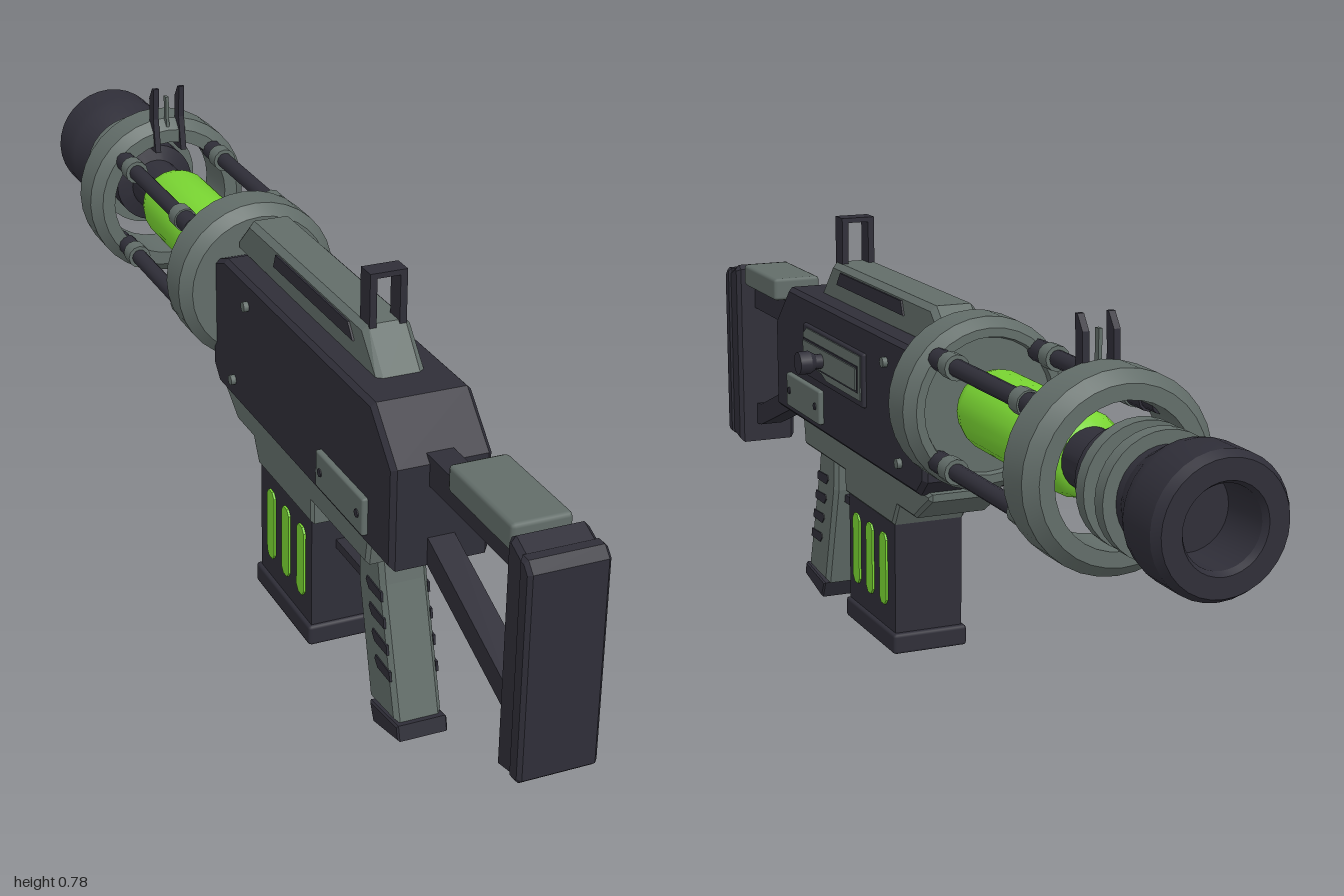
import * as THREE from 'three';
import { toCreasedNormals } from 'three/addons/utils/BufferGeometryUtils.js';
import { RoundedBoxGeometry } from 'three/addons/geometries/RoundedBoxGeometry.js';

const AXIS_Y = 0.545; // height of the barrel axis

export function createModel() {
  const model = new THREE.Group();
  model.name = 'energyRifle';
  const material = (name, color) => {
    const m = new THREE.MeshStandardMaterial({ color });
    m.name = name;
    return m;
  };
  const dark = material('dark gunmetal', 0x2f2e38);
  const grey = material('grey green metal', 0x626d69);
  const green = material('glowing green', 0x7bd833);

  function add(name, geometry, mat, x = 0, y = 0, z = 0) {
    const mesh = new THREE.Mesh(geometry, mat);
    mesh.name = name;
    mesh.position.set(x, y, z);
    model.add(mesh);
    return mesh;
  }
  const box = (name, mat, w, h, d, x, y, z) => add(name, new THREE.BoxGeometry(w, h, d), mat, x, y, z);

  // Side profile of [z, y] points, extruded across x to the given full width
  function side(name, mat, points, width, bevel = 0, x = 0) {
    const shape = new THREE.Shape(points.map(([z, y]) => new THREE.Vector2(z, y)));
    const geo = new THREE.ExtrudeGeometry(shape, {
      depth: width - 2 * bevel, bevelEnabled: bevel > 0, bevelSize: bevel,
      bevelThickness: bevel, bevelOffset: -bevel, bevelSegments: 1,
    });
    geo.translate(0, 0, bevel - width / 2);
    geo.rotateY(-Math.PI / 2);
    return add(name, geo, mat, x);
  }

  // Turned part around the barrel axis: [radius, distance forward] points
  function turned(name, mat, points, crease = 0.5, segments = 32) {
    const geo = new THREE.LatheGeometry(points.map(([r, f]) => new THREE.Vector2(r, f)), segments);
    geo.rotateX(-Math.PI / 2);
    return add(name, toCreasedNormals(geo, crease), mat, 0, AXIS_Y, 0);
  }

  // Cylinder lying along z
  function rodZ(name, mat, r, z0, z1, x, y) {
    const geo = new THREE.CylinderGeometry(r, r, Math.abs(z1 - z0), 12).rotateX(Math.PI / 2);
    return add(name, geo, mat, x, y, (z0 + z1) / 2);
  }

  // Cylinder lying along x
  function rodX(name, mat, r0, r1, x0, x1, y, z) {
    const geo = new THREE.CylinderGeometry(r1, r0, x1 - x0, 14).rotateZ(-Math.PI / 2);
    return add(name, geo, mat, (x0 + x1) / 2, y, z);
  }

  // Receiver
  side('receiver', dark, [[0.61, 0.37], [0.61, 0.545], [0.53, 0.623], [-0.09, 0.623],
    [-0.15, 0.6], [-0.15, 0.4], [-0.12, 0.37]], 0.17, 0.008);
  side('lowerReceiver', grey, [[0.49, 0.315], [0.61, 0.375], [-0.14, 0.375], [-0.14, 0.362], [-0.07, 0.315]].map(
    ([z, y]) => [Math.min(z, 0.5), y]), 0.14, 0.006);
  side('magazineWell', grey, [[0.27, 0.275], [0.27, 0.33], [0.0, 0.33], [0.03, 0.275]], 0.14, 0.005);
  side('topRail', grey, [[0.465, 0.615], [0.4, 0.69], [-0.08, 0.69], [-0.135, 0.64], [-0.135, 0.615]], 0.083, 0.01);

  // Details repeated on both sides
  for (const s of [-1, 1]) {
    side('railSlot', dark, [[0.37, 0.652], [0.35, 0.677], [0.05, 0.677], [0.04, 0.652]], 0.006, 0, s * 0.042);
    add('sidePlate', new RoundedBoxGeometry(0.02, 0.066, 0.185, 1, 0.004), grey, s * 0.085, 0.423, 0.432);
    for (const z of [0.36, 0.505]) rodX('plateScrew', dark, 0.007, 0.007, s * 0.095 - 0.002, s * 0.095 + 0.002, 0.423, z);
    for (const [y, z] of [[0.577, 0.02], [0.41, -0.045]]) {
      rodX('receiverScrew', grey, 0.009, 0.009, s * 0.087 - 0.007, s * 0.087 + 0.007, y, z);
    }
  }

  // Bolt port and charging handle on the model's left
  add('portFrame', new RoundedBoxGeometry(0.012, 0.1, 0.315, 1, 0.004), dark, 0.086, 0.522, 0.273);
  side('portCover', grey, [[0.425, 0.5], [0.425, 0.553], [0.405, 0.566], [0.125, 0.566], [0.125, 0.484],
    [0.3, 0.484], [0.325, 0.493]], 0.006, 0, 0.091);
  side('boltRecess', dark, [[0.42, 0.497], [0.42, 0.546], [0.135, 0.546], [0.135, 0.497]], 0.004, 0, 0.0935);
  side('boltCarrier', grey, [[0.415, 0.501], [0.415, 0.542], [0.14, 0.542], [0.14, 0.501]], 0.004, 0, 0.096);
  rodX('handleShaft', dark, 0.014, 0.014, 0.085, 0.116, 0.52, 0.315);
  rodX('handleKnob', dark, 0.016, 0.022, 0.112, 0.122, 0.52, 0.315);
  rodX('handleKnob', dark, 0.022, 0.021, 0.122, 0.144, 0.52, 0.315);

  // Rear sight frame
  for (const s of [-1, 1]) box('rearSightPost', dark, 0.012, 0.09, 0.036, s * 0.026, 0.73, 0.387);
  box('rearSightBridge', dark, 0.064, 0.009, 0.036, 0, 0.772, 0.387);

  // Energy chamber: end rings, canister, tie rods
  turned('rearRing', grey, [[0, 0.13], [0.13, 0.13], [0.149, 0.15], [0.149, 0.213], [0.133, 0.233],
    [0.118, 0.233], [0.115, 0.222], [0, 0.222]]);
  turned('frontRing', grey, [[0.115, 0.606], [0.14, 0.606], [0.159, 0.625], [0.159, 0.69], [0.14, 0.71],
    [0.115, 0.71], [0.115, 0.606]]);
  turned('canister', green, [[0, 0.222], [0.05, 0.225], [0.064, 0.24], [0.07, 0.265], [0.07, 0.565],
    [0.064, 0.587], [0.05, 0.6], [0, 0.604]], 0.9, 20);
  for (const sx of [-1, 1]) for (const sy of [-1, 1]) {
    const x = sx * 0.09, y = AXIS_Y + sy * 0.087;
    rodZ('tieRod', dark, 0.015, -0.21, -0.65, x, y);
    for (const [z, dir] of [[-0.285, 1], [-0.555, -1]]) {
      rodZ('rodNut', grey, 0.022, z - 0.016, z + 0.016, x, y);
      rodZ('rodSleeve', dark, 0.019, z, z + dir * 0.06, x, y);
    }
  }

  // Front sight: two prongs and a thin centre post
  for (const s of [-1, 1]) {
    side('frontSightProng', dark, [[-0.595, 0.645], [-0.605, 0.71], [-0.6, 0.772], [-0.608, 0.772],
      [-0.626, 0.748], [-0.628, 0.7], [-0.64, 0.69], [-0.64, 0.645]], 0.011, 0, s * 0.026);
  }
  box('frontSightPost', grey, 0.006, 0.09, 0.012, 0, 0.705, -0.617);

  // Barrel, cooling fins and hollow muzzle
  turned('barrel', dark, [[0, 0.58], [0.05, 0.58], [0.05, 0.69], [0.078, 0.7], [0.078, 0.85], [0, 0.85]]);
  for (const f of [0.745, 0.804]) {
    turned('coolingFin', grey, [[0.07, f], [0.099, f], [0.099, f + 0.025], [0.07, f + 0.025]]);
  }
  turned('muzzle', dark, [[0, 0.84], [0.076, 0.84], [0.105, 0.9], [0.109, 0.92], [0.109, 0.985], [0.1, 1],
    [0.068, 1], [0.062, 0.99], [0.062, 0.9], [0, 0.9]]);

  // Stock
  side('buttBody', dark, [[0.925, 0.215], [0.925, 0.592], [0.937, 0.6], [0.978, 0.582], [0.978, 0.225]], 0.122, 0.008);
  side('buttPad', dark, [[0.968, 0.226], [0.968, 0.588], [0.985, 0.588], [1, 0.572], [1, 0.235], [0.99, 0.226]], 0.13, 0.006);
  box('upperStrut', dark, 0.046, 0.05, 0.35, 0, 0.533, 0.765);
  side('lowerStrut', dark, [[0.935, 0.252], [0.935, 0.297], [0.895, 0.303], [0.6, 0.422], [0.6, 0.375], [0.9, 0.257]], 0.046);
  add('cheekPad', new RoundedBoxGeometry(0.098, 0.045, 0.198, 1, 0.007), grey, 0, 0.582, 0.818);

  // Pistol grip
  side('grip', grey, [[0.478, 0.325], [0.395, 0.325], [0.398, 0.24], [0.452, 0.035], [0.555, 0.045], [0.49, 0.27]], 0.084, 0.008);
  side('gripCap', dark, [[0.565, 0.048], [0.572, 0.022], [0.474, 0], [0.458, 0.034]], 0.09, 0.003);
  for (const s of [-1, 1]) for (let i = 0; i < 4; i++) {
    const z = 0.463 + i * 0.013, y = 0.25 - i * 0.043;
    side('gripSlot', dark, [[z + 0.03, y - 0.008], [z + 0.027, y + 0.009], [z - 0.026, y + 0.012],
      [z - 0.03, y + 0.004], [z - 0.018, y - 0.008]], 0.004, 0, s * 0.042);
  }

  // Trigger and guard
  box('triggerGuard', dark, 0.04, 0.016, 0.16, 0, 0.222, 0.332);
  side('triggerGuardFront', dark, [[0.335, 0.318], [0.32, 0.318], [0.255, 0.27], [0.255, 0.252]], 0.04);
  side('trigger', grey, [[0.325, 0.32], [0.295, 0.32], [0.312, 0.285], [0.352, 0.258], [0.345, 0.275], [0.33, 0.292]], 0.02);

  // Magazine with glowing windows
  box('magazine', dark, 0.13, 0.24, 0.228, 0, 0.17, 0.145);
  add('magazineBase', new RoundedBoxGeometry(0.144, 0.038, 0.246, 1, 0.006), dark, 0, 0.051, 0.143);
  for (const s of [-1, 1]) for (const z of [0.217, 0.15, 0.083]) {
    side('magazineWindow', green, [[z + 0.016, 0.122], [z + 0.016, 0.236], [z + 0.008, 0.246], [z - 0.008, 0.246],
      [z - 0.016, 0.236], [z - 0.016, 0.122], [z - 0.008, 0.112], [z + 0.008, 0.112]], 0.008, 0, s * 0.065);
  }

  return model;
}
